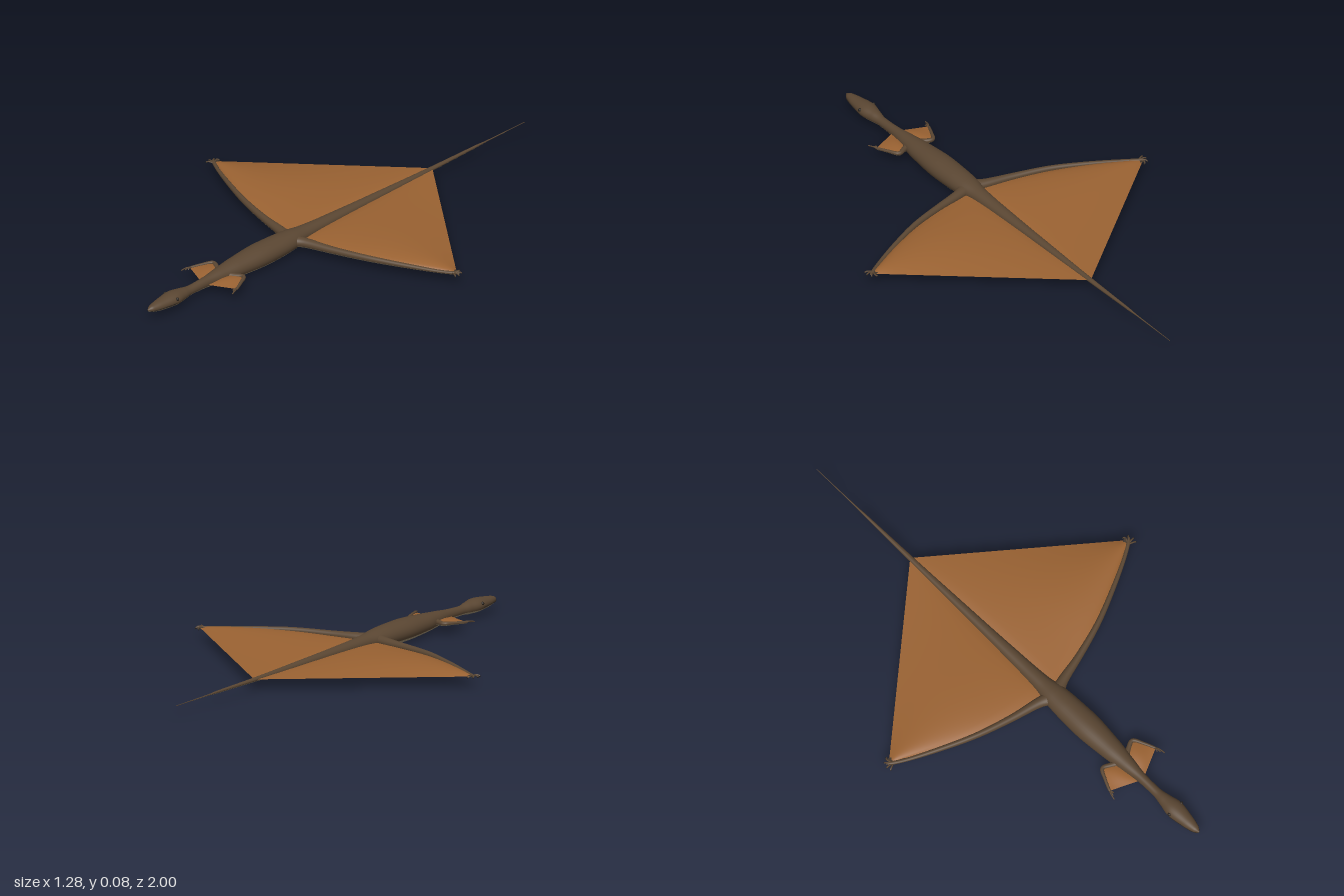
import * as THREE from 'three';

const mat = (name, color, side = THREE.FrontSide) => {
  const m = new THREE.MeshStandardMaterial({ color, side });
  m.name = name;
  return m;
};

// Indexed surface from a function of two grid parameters in 0..1
function gridSurface(nu, nv, at) {
  const pos = [], index = [];
  for (let i = 0; i <= nu; i++) {
    for (let j = 0; j <= nv; j++) {
      pos.push(...at(i / nu, j / nv).toArray());
      if (i < nu && j < nv) {
        const a = i * (nv + 1) + j, c = a + nv + 1;
        index.push(a, a + 1, c, a + 1, c + 1, c);
      }
    }
  }
  const g = new THREE.BufferGeometry();
  g.setAttribute('position', new THREE.Float32BufferAttribute(pos, 3));
  g.setIndex(index);
  g.computeVertexNormals();
  return g;
}

// Elliptical loft along stations [x, y, z, halfWidth, halfHeight], over part of its girth
function loft(stations, steps, from, to, sides) {
  const path = new THREE.CatmullRomCurve3(stations.map(s => new THREE.Vector3(s[0], s[1], s[2])), false, 'centripetal');
  const size = new THREE.CatmullRomCurve3(stations.map(s => new THREE.Vector3(s[3], s[4], s[2])), false, 'catmullrom', 0.4);
  const up = new THREE.Vector3(0, 1, 0);
  return gridSurface(steps, sides, (u, v) => {
    const p = path.getPoint(u), r = size.getPoint(u), t = path.getTangent(u);
    const side = new THREE.Vector3().crossVectors(up, t).normalize();
    const a = from + (to - from) * v;
    return p.addScaledVector(side, Math.cos(a) * Math.max(r.x, 0.0005))
      .addScaledVector(up, Math.sin(a) * Math.max(r.y, 0.0005));
  });
}

export function createModel() {
  const hide = mat('brown hide', 0x5a4632);
  const belly = mat('pale belly', 0x9c8c70);
  const skin = mat('orange membrane', 0x9a6232, THREE.DoubleSide);
  const dark = mat('dark claw', 0x2b241d);
  const web = mat('dark web', 0x40352a, THREE.DoubleSide);

  const model = new THREE.Group();
  model.name = 'glidingReptile';
  const add = (name, geometry, material, parent = model) => {
    const m = new THREE.Mesh(geometry, material);
    m.name = name;
    parent.add(m);
    return m;
  };
  // Brown back and pale underside of one limb or the trunk
  const twoTone = (name, stations, steps, parent) => {
    const d = Math.PI / 6;
    add(name + 'Back', loft(stations, steps, -d, Math.PI + d, 20), hide, parent);
    add(name + 'Underside', loft(stations, steps, Math.PI + d, 2 * Math.PI - d, 10), belly, parent);
  };

  // Head, neck, trunk and whip tail in one run: [z, centre y, half width, half height]
  const profile = [
    [1, 0.048, 0.002, 0.003], [0.98, 0.048, 0.015, 0.013], [0.94, 0.048, 0.025, 0.02],
    [0.87, 0.049, 0.035, 0.026], [0.82, 0.047, 0.025, 0.023], [0.78, 0.046, 0.018, 0.018],
    [0.7, 0.047, 0.019, 0.021], [0.62, 0.047, 0.031, 0.029], [0.54, 0.047, 0.043, 0.036],
    [0.42, 0.048, 0.053, 0.042], [0.32, 0.048, 0.051, 0.041], [0.25, 0.049, 0.046, 0.036],
    [0.18, 0.049, 0.033, 0.029], [0.08, 0.049, 0.027, 0.023], [-0.15, 0.049, 0.019, 0.016],
    [-0.5, 0.049, 0.01, 0.008], [-0.74, 0.05, 0.005, 0.005], [-0.8, 0.05, 0.0025, 0.0025],
    [-1, 0.05, 0.001, 0.001],
  ];
  twoTone('body', profile.map(([z, y, w, h]) => [0, y, z, w, h]), 140);

  for (const s of [1, -1]) {
    const side = s > 0 ? 'left' : 'right';
    const V = (x, y, z) => new THREE.Vector3(s * x, y, z);
    const flip = st => st.map(([x, ...rest]) => [s * x, ...rest]);

    // Eye and mouth line
    const eye = add(side + 'Eye', new THREE.SphereGeometry(0.007, 12, 8), dark);
    eye.position.copy(V(0.031, 0.058, 0.875));
    const lips = new THREE.CatmullRomCurve3([
      V(0.003, 0.043, 0.998), V(0.0145, 0.043, 0.98), V(0.0245, 0.043, 0.94), V(0.034, 0.043, 0.88),
    ]);
    add(side + 'Mouth', new THREE.TubeGeometry(lips, 16, 0.0015, 5), dark);

    // Long hind leg forming the leading edge
    const hind = new THREE.Group();
    hind.name = side + 'HindLeg';
    model.add(hind);
    twoTone('leg', flip([
      [0.01, 0.05, 0.245, 0.03, 0.022], [0.06, 0.05, 0.226, 0.02, 0.018], [0.17, 0.051, 0.2, 0.014, 0.014],
      [0.31, 0.053, 0.158, 0.011, 0.012], [0.45, 0.051, 0.098, 0.009, 0.009],
      [0.57, 0.048, 0.038, 0.007, 0.006], [0.615, 0.048, 0.01, 0.007, 0.006], [0.63, 0.048, 0, 0.002, 0.002],
    ]), 40, hind);

    // Foot web and toes
    add('footWeb', gridSurface(4, 4, (u, v) => V(0.57 + 0.05 * u - 0.008 * v, 0.051, 0.045 - 0.038 * u - 0.03 * v * (1 - 0.4 * u))), web, hind);
    for (const [x, z] of [[0.638, 0.028], [0.642, 0.012], [0.634, -0.008], [0.615, -0.016]]) {
      const toe = new THREE.CatmullRomCurve3([V(0.607, 0.048, 0.016), V((x + 0.62) / 2, 0.051, z * 0.8 + 0.003), V(x - 0.003, 0.047, z)]);
      add('toe', new THREE.TubeGeometry(toe, 6, 0.003, 6), hide, hind);
      const claw = add('claw', new THREE.SphereGeometry(0.0035, 8, 6), dark, hind);
      claw.position.copy(V(x - 0.004, 0.047, z));
    }

    // Broad billowing flight membrane from leg to tail
    const lead = new THREE.CatmullRomCurve3([
      V(0.012, 0.045, 0.225), V(0.17, 0.045, 0.196), V(0.31, 0.047, 0.154), V(0.45, 0.048, 0.094), V(0.615, 0.048, 0.008),
    ]);
    const trail = new THREE.LineCurve3(V(0.006, 0.05, -0.505), V(0.612, 0.048, -0.002));
    add('flightMembrane', gridSurface(28, 24, (u, v) => {
      const p = lead.getPoint(u).lerp(trail.getPoint(u), v);
      p.y += 0.022 * Math.sin(Math.PI * Math.pow(v, 0.65)) * Math.sqrt(Math.max(0, Math.sin(Math.PI * Math.min(1, u))));
      return p;
    }), skin, hind);

    // Short foreleg swept forward
    const fore = new THREE.Group();
    fore.name = side + 'Foreleg';
    model.add(fore);
    twoTone('arm', flip([
      [0.015, 0.045, 0.6, 0.014, 0.013], [0.045, 0.047, 0.585, 0.01, 0.01], [0.077, 0.05, 0.572, 0.008, 0.008],
      [0.1, 0.049, 0.61, 0.006, 0.006], [0.117, 0.046, 0.648, 0.005, 0.005], [0.121, 0.045, 0.658, 0.002, 0.002],
    ]), 28, fore);
    for (const [x, z] of [[0.13, 0.688], [0.122, 0.674], [0.113, 0.666]]) {
      const finger = new THREE.CatmullRomCurve3([V(0.115, 0.046, 0.645), V(0.55 * x + 0.053, 0.048, 0.663), V(x, 0.043, z)]);
      add('finger', new THREE.TubeGeometry(finger, 6, 0.0025, 6), hide, fore);
    }

    // Small membrane between foreleg and neck
    const armEdge = new THREE.CatmullRomCurve3([V(0.02, 0.046, 0.592), V(0.077, 0.049, 0.575), V(0.1, 0.048, 0.61), V(0.116, 0.046, 0.654)]);
    const neckEdge = new THREE.CatmullRomCurve3([V(0.015, 0.044, 0.61), V(0.012, 0.044, 0.65), V(0.012, 0.043, 0.68), V(0.01, 0.043, 0.702)]);
    add('foreMembrane', gridSurface(12, 8, (u, v) => {
      const p = armEdge.getPoint(u).lerp(neckEdge.getPoint(u), v);
      p.y += 0.008 * Math.sin(Math.PI * u) * Math.sin(Math.PI * v);
      return p;
    }), skin, fore);
  }
  return model;
}
